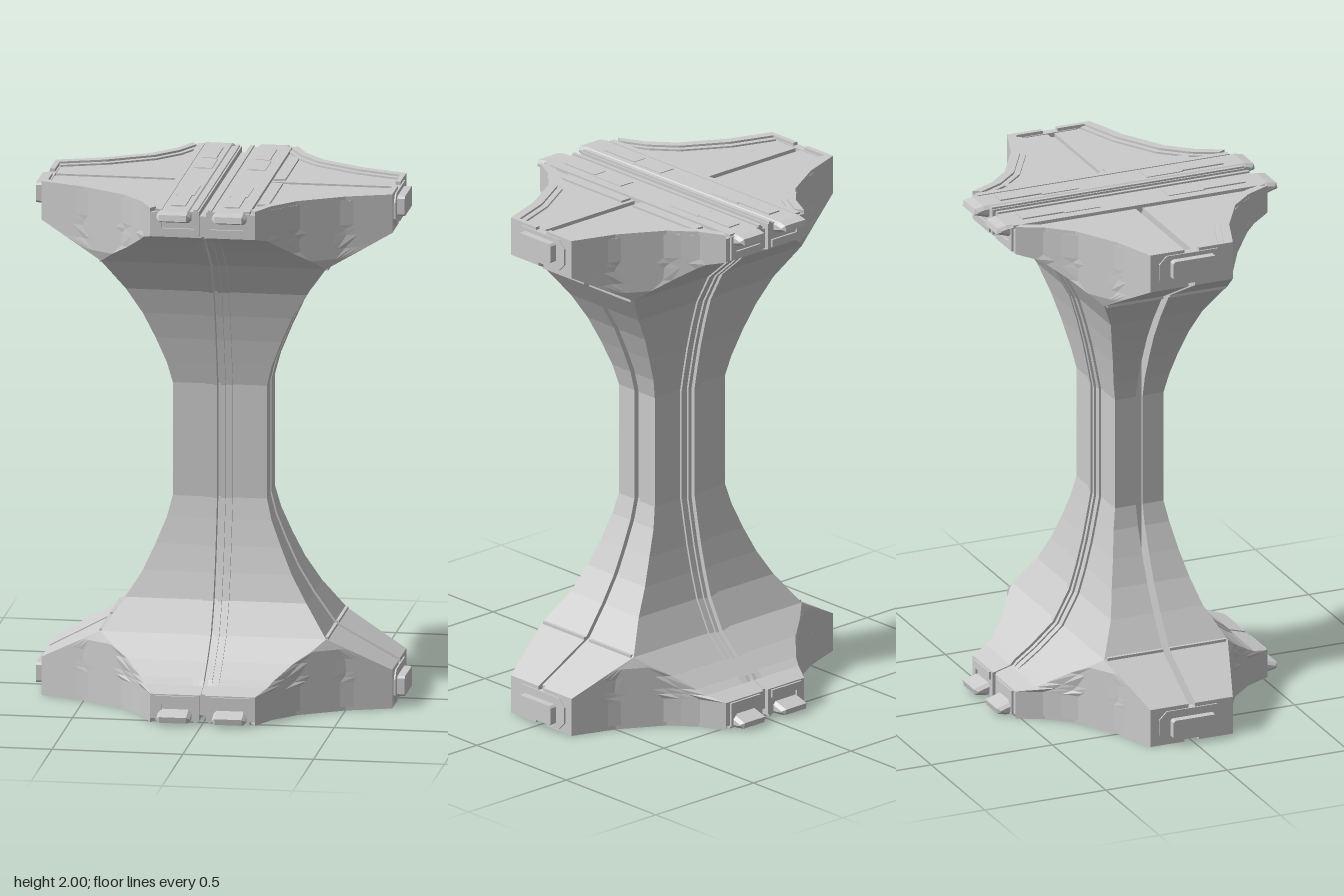
import * as THREE from 'three';

// half-height profiles: [y, half extent]; the pillar mirrors about y = 1
const WIDTH = [[0, .67], [.15, .67], [.28, .43], [.4, .345], [.5, .285], [.6, .24], [.7, .2], [.78, .18], [1, .18]];
const DEPTH = [[0, .52], [.11, .52], [.13, .45], [.17, .38], [.28, .255], [.4, .19], [.5, .16], [.6, .135], [.7, .115], [.78, .1], [1, .1]];
// concave edge of the foot in plan, as [x, z]
const EDGE = [[.2, .52], [.25, .42], [.33, .33], [.5, .23], [.67, .17]];
const EDGE_BY_Z = EDGE.map(([x, z]) => [z, x]).reverse();
const LEVELS = [.015, .11, .13, .15, .2, .24, .28, .34, .4, .5, .6, .7, .78];
const GAP = .014; // half width of the seams

function lookup(table, v) {
  if (v <= table[0][0]) return table[0][1];
  for (let i = 1; i < table.length; i++) {
    const [a, fa] = table[i - 1], [b, fb] = table[i];
    if (v <= b) return fa + (fb - fa) * (v - a) / (b - a);
  }
  return table[table.length - 1][1];
}
const fold = (y) => Math.min(y, 2 - y);
const halfX = (y) => lookup(WIDTH, fold(y));
const halfZ = (y) => lookup(DEPTH, fold(y));
const allLevels = () => [...LEVELS, ...LEVELS.map((y) => 2 - y).reverse()];

// one quarter of the pillar: rectangle in section, clipped by the concave foot edge
function quarterGeometry() {
  const N = 10, ys = allLevels(), pos = [], idx = [];
  const ring = N + 4;
  for (const y of ys) {
    const hx = halfX(y), hz = halfZ(y);
    const x0 = Math.min(hx, lookup(EDGE_BY_Z, hz));
    pos.push(hx, y, GAP);
    for (let i = 0; i <= N; i++) {
      const x = hx + (x0 - hx) * i / N;
      pos.push(x, y, Math.min(hz, lookup(EDGE, x)));
    }
    pos.push(GAP, y, hz, GAP, y, GAP);
  }
  for (let j = 0; j < ys.length - 1; j++) {
    for (let i = 0; i < ring; i++) {
      const a = j * ring + i, b = j * ring + (i + 1) % ring;
      idx.push(a, a + ring, b, b, a + ring, b + ring);
    }
  }
  const top = (ys.length - 1) * ring, c = ring - 1;
  for (let i = 0; i < ring - 2; i++) {
    idx.push(c, i, i + 1, top + c, top + i + 1, top + i);
  }
  const g = new THREE.BufferGeometry();
  g.setAttribute('position', new THREE.Float32BufferAttribute(pos, 3));
  g.setIndex(idx);
  return g;
}

// copy of a geometry mirrored about x = 0, y = 1, z = 0, keeping faces outward
function mirrored(geometry, sx, sy, sz) {
  const g = geometry.index ? geometry.toNonIndexed() : geometry.clone();
  g.translate(0, -1, 0).scale(sx, sy, sz).translate(0, 1, 0);
  if (sx * sy * sz < 0) {
    const p = g.attributes.position, a = new THREE.Vector3(), b = new THREE.Vector3();
    for (let i = 0; i < p.count; i += 3) {
      a.fromBufferAttribute(p, i + 1);
      b.fromBufferAttribute(p, i + 2);
      p.setXYZ(i + 1, b.x, b.y, b.z);
      p.setXYZ(i + 2, a.x, a.y, a.z);
    }
  }
  g.computeVertexNormals();
  return g;
}

// extrude an outline of [u, v] points
function slab(points, depth, bevel = 0) {
  return new THREE.ExtrudeGeometry(new THREE.Shape(points.map(([u, v]) => new THREE.Vector2(u, v))), {
    depth, bevelEnabled: bevel > 0, bevelSize: bevel, bevelThickness: bevel, bevelOffset: -bevel, bevelSegments: 1,
  });
}
// outline given as [z, y], thickness along x starting at x0
const slabAlongX = (points, x0, w, bevel) => slab(points.map(([z, y]) => [-z, y]), w, bevel).rotateY(Math.PI / 2).translate(x0, 0, 0);
// outline given as [x, z], thickness along y starting at y0
const slabAlongY = (points, y0, h) => slab(points.map(([x, z]) => [x, -z]), h).rotateX(-Math.PI / 2).translate(0, y0, 0);
const box = (x0, x1, y0, y1, z0, z1) =>
  new THREE.BoxGeometry(x1 - x0, y1 - y0, z1 - z0).translate((x0 + x1) / 2, (y0 + y1) / 2, (z0 + z1) / 2);

// block with chamfered corners facing outward along x
function endBlock(x0, x1, y0, y1, hz, c) {
  return slabAlongX([[-hz, y0 + c], [-hz + c, y0], [hz - c, y0], [hz, y0 + c], [hz, y1 - c], [hz - c, y1], [-hz + c, y1], [-hz, y1 - c]], x0, x1 - x0);
}

export function createModel() {
  const model = new THREE.Group();
  const material = new THREE.MeshStandardMaterial({ color: 0xcccccc, flatShading: true });
  const both = [1, -1];

  // adds the geometry mirrored across each axis listed in axes
  function add(name, geometry, axes = '') {
    for (const sx of axes.includes('x') ? both : [1])
      for (const sy of axes.includes('y') ? both : [1])
        for (const sz of axes.includes('z') ? both : [1]) {
          const mesh = new THREE.Mesh(mirrored(geometry, sx, sy, sz), material);
          mesh.name = name;
          model.add(mesh);
        }
  }

  // four flared quarters
  add('pillarQuarter', quarterGeometry(), 'xz');

  // recessed fillers inside the seams; the right side slot stays open
  const ys = allLevels();
  const sideLine = ys.map((y) => [halfX(y) - .02, THREE.MathUtils.clamp(y, .03, 1.97)]);
  add('sideSeamFiller', slab([[-.17, .03], ...sideLine, [-.17, 1.97]], GAP * 2).translate(0, 0, -GAP));
  const frontLine = ys.map((y) => [halfZ(y) - .015, THREE.MathUtils.clamp(y, .03, 1.97)]);
  add('frontSeamFiller', slabAlongX([[0, .03], ...frontLine, [0, 1.97]], -GAP, GAP * 2), 'z');

  // paired ribs running up the front and back
  const ribYs = ys.filter((y) => y > .1 && y < 1.9);
  const rib = (x0, w, h) => slabAlongX([
    ...ribYs.map((y) => [halfZ(y) + (fold(y) < .15 ? 0 : h), y]),
    ...ribYs.map((y) => [halfZ(y) - .04, y]).reverse(),
  ], x0, w);
  add('innerRib', rib(.008, .016, .018), 'xz');
  add('outerRib', rib(.024, .026, .009), 'xz');

  // raised border following the concave foot edge, with an inner step
  const border = (outset, width) => [
    ...EDGE.map(([x, z]) => [x - outset * .5, z - outset]),
    ...EDGE.map(([x, z]) => [x - outset * .5 - width * .6, z - outset - width]).reverse(),
  ];
  add('footBorder', slabAlongY(border(0, .03), 0, .018), 'xyz');
  add('footBorderStep', slabAlongY(border(.03, .02), .008, .01), 'xyz');
  add('footEndBorder', box(.65, .67, 0, .02, .03, .17), 'xyz');

  // centre strip between the wings
  add('stripEdge', box(.155, .18, .002, .03, 0, .52), 'xyz');
  add('stripRidge', box(.02, .034, .002, .03, 0, .52), 'xyz');
  add('stripBase', box(GAP, .18, .009, .03, 0, .52), 'xyz');
  add('wingBar', box(.185, .23, .007, .02, .03, .375).translate(0, 0, 0), 'yz');

  // long rails with tapered tips
  const railProfile = [[-.01, .005], [.54, .005], [.575, .012], [.58, .035], [.53, .05], [.5, .06], [-.01, .06]];
  add('rail', slabAlongX(railProfile, .048, .104, .012).translate(.006, 0, 0), 'xyz');
  add('railPad', box(.075, .13, 0, .02, .29, .46), 'xyz');
  add('railInset', box(.068, .136, .002, .02, .14, .29), 'xyz');
  add('railStop', box(.08, .125, -.0, .02, .40, .43), 'xyz');

  // housing around the rail tips
  add('railHousing', box(.03, .175, .075, .105, .48, .528), 'xyz');
  add('railHousingSide', box(.155, .18, .01, .105, .48, .528), 'xyz');

  // wing end plates and their square latches
  add('wingEndPlate', endBlock(.645, .676, .012, .135, .135, .03), 'xy');
  add('wingLatch', endBlock(.66, .705, .028, .105, .09, .008), 'xy');

  // raised trim where the wings meet the shaft
  add('wingTrim', box(.422, .437, .272, .287, GAP, .245), 'xyz');
  return model;
}
